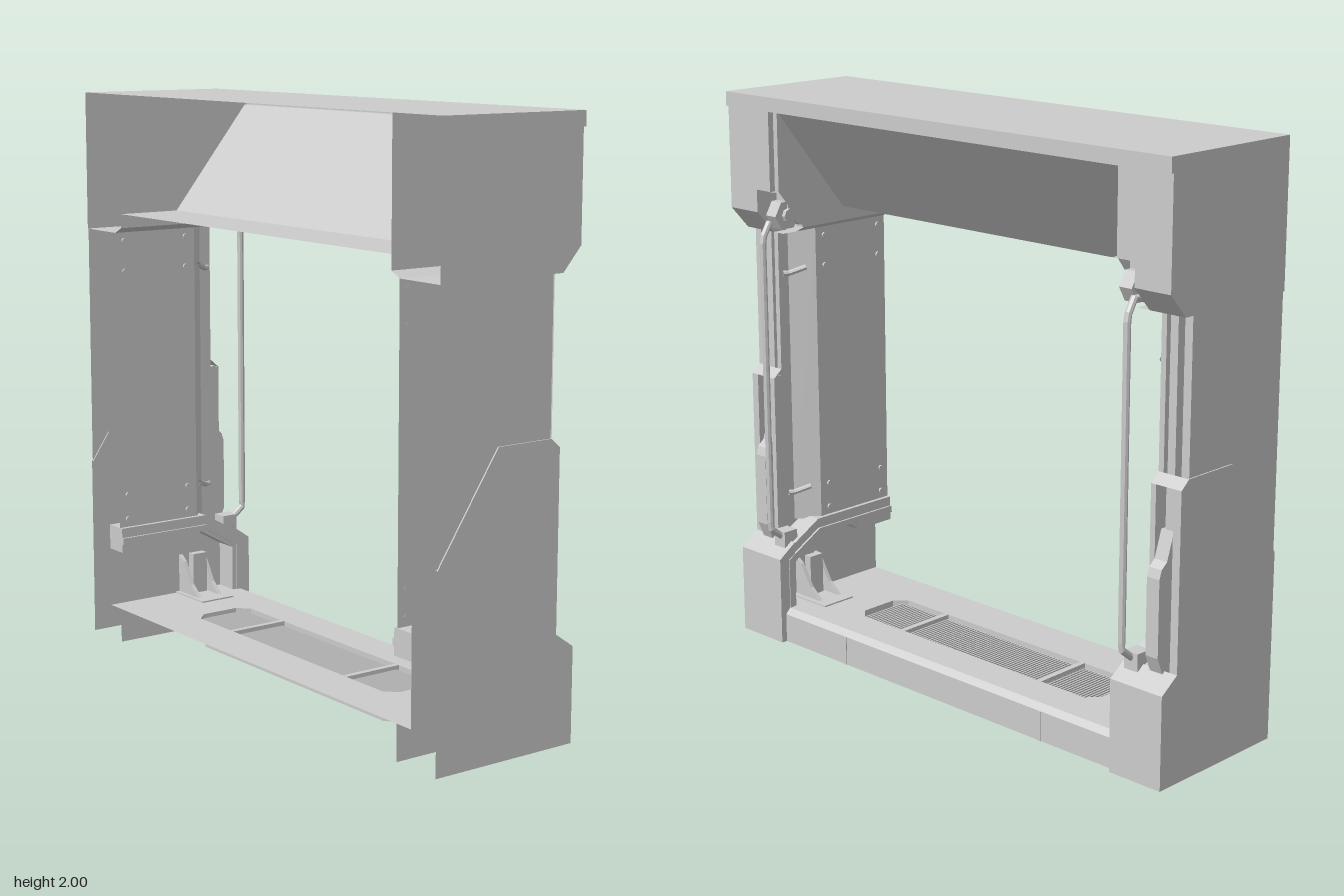
import * as THREE from 'three';

const mat = new THREE.MeshStandardMaterial({ color: 0xcccccc, flatShading: true, side: THREE.DoubleSide });

function add(group, name, geometry) {
  const mesh = new THREE.Mesh(geometry, mat);
  mesh.name = name;
  group.add(mesh);
}

// Open sheet: a polyline swept in a straight line between two offsets
function sweep(path, place, a, b) {
  const pos = [];
  for (let i = 0; i < path.length - 1; i++) {
    const p = place(path[i], a), q = place(path[i + 1], a);
    const r = place(path[i + 1], b), s = place(path[i], b);
    pos.push(...p, ...q, ...r, ...p, ...r, ...s);
  }
  const g = new THREE.BufferGeometry();
  g.setAttribute('position', new THREE.Float32BufferAttribute(pos, 3));
  g.computeVertexNormals();
  return g;
}
// path of [z, y], swept along x
const sheetX = (path, x0, x1) => sweep(path, ([z, y], x) => [x, y, z], x0, x1);
// path of [x, z], swept along y
const sheetY = (path, y0, y1) => sweep(path, ([x, z], y) => [x, y, z], y0, y1);

const shapeOf = pts => new THREE.Shape(pts.map(([a, b]) => new THREE.Vector2(a, b)));

// Flat panel with a [z, y] outline at a given x
function panelX(pts, x) {
  return new THREE.ShapeGeometry(shapeOf(pts.map(([z, y]) => [-z, y]))).rotateY(Math.PI / 2).translate(x, 0, 0);
}
// Solid with a [z, y] outline from x0 to x1
function solidX(pts, x0, x1) {
  return new THREE.ExtrudeGeometry(shapeOf(pts.map(([z, y]) => [-z, y])), { depth: x1 - x0, bevelEnabled: false })
    .rotateY(Math.PI / 2).translate(x0, 0, 0);
}
function box(x0, x1, y0, y1, z0, z1) {
  return new THREE.BoxGeometry(x1 - x0, y1 - y0, z1 - z0)
    .translate((x0 + x1) / 2, (y0 + y1) / 2, (z0 + z1) / 2);
}
// Bent round bar through a few points
function tube(points, radius) {
  const curve = new THREE.CurvePath();
  const v = points.map(p => new THREE.Vector3(...p));
  for (let i = 0; i < v.length - 1; i++) curve.add(new THREE.LineCurve3(v[i], v[i + 1]));
  return new THREE.TubeGeometry(curve, 48, radius, 8);
}

function createSide() {
  const g = new THREE.Group();

  // Outer cheek: corner, middle and proud lower plate
  add(g, 'cornerOuterPanel', panelX([[0.285, 1.51], [0.285, 2], [-0.272, 2], [-0.272, 1.59], [-0.2, 1.51]], 1));
  add(g, 'middleOuterPanel', panelX([[0.285, 0.65], [0.285, 1.51], [-0.165, 1.51], [-0.165, 1], [0.05, 1]], 0.995));
  add(g, 'lowerOuterPanel', panelX([[0.285, 0], [0.285, 0.65], [0.05, 1], [-0.165, 1], [-0.2, 0.97],
    [-0.2, 0.37], [-0.272, 0.32], [-0.272, 0]], 1));
  add(g, 'lowerPanelStep', sheetX([[0.285, 0.65], [0.05, 1], [-0.165, 1]], 0.99, 1));

  // Header corner block
  add(g, 'cornerBack', sheetX([[-0.272, 2], [-0.272, 1.67]], 0.79, 1));
  add(g, 'cornerBackLower', sheetX([[-0.272, 1.67], [-0.272, 1.59], [-0.2, 1.51]], 0.86, 1));
  add(g, 'cornerShelf', sheetX([[-0.2, 1.51], [0.285, 1.51]], 0.81, 1));
  add(g, 'cornerInnerPanel', panelX([[0.285, 1.53], [0.285, 2], [-0.25, 2], [-0.25, 1.67], [-0.14, 1.53]], 0.77));
  add(g, 'cornerInnerReturn', sheetY([[0.77, -0.25], [0.79, -0.25], [0.79, -0.272]], 1.67, 2));
  add(g, 'cornerInnerStep', panelX([[-0.14, 1.51], [-0.14, 1.67], [-0.272, 1.67], [-0.272, 1.59], [-0.2, 1.51]], 0.86));
  add(g, 'cornerStepTop', sheetX([[-0.14, 1.67], [-0.272, 1.67]], 0.77, 0.86));
  add(g, 'cornerStepBack', sheetX([[-0.14, 1.67], [-0.14, 1.53]], 0.77, 0.86));
  add(g, 'cornerSoffit', sweep([[0.77, 1.53], [0.81, 1.51]], ([x, y], z) => [x, y, z], -0.14, 0.285));
  add(g, 'cornerBracket', solidX([[-0.1, 1.54], [-0.1, 1.66], [-0.2, 1.66], [-0.2, 1.58], [-0.15, 1.54]], 0.78, 0.84));

  // Hexagonal joint
  add(g, 'joint', new THREE.CylinderGeometry(0.055, 0.055, 0.05, 6).rotateZ(Math.PI / 2).translate(0.81, 1.58, -0.2));
  add(g, 'jointPin', new THREE.CylinderGeometry(0.025, 0.025, 0.07, 8).rotateZ(Math.PI / 2).translate(0.805, 1.58, -0.2));

  // Jamb lining with its inner wall, bolts and thin ties to the post
  add(g, 'jambLining', sheetY([[0.88, -0.165], [0.88, -0.12], [0.81, -0.05], [0.81, 0.285]], 0.42, 1.51));
  add(g, 'jambInnerWall', sheetY([[0.88, 0.285], [0.88, -0.12]], 0.42, 1.51));
  for (const y of [0.46, 0.55, 1.37, 1.48]) for (const z of [0.25, -0.01]) {
    add(g, 'liningBolt', new THREE.CylinderGeometry(0.01, 0.01, 0.008, 8).rotateZ(Math.PI / 2).translate(0.807, y, z));
  }
  for (const y of [0.55, 1.37]) add(g, 'liningTie', tube([[0.83, y, -0.08], [0.865, y - 0.02, -0.13], [0.875, y - 0.02, -0.15]], 0.01));

  // Channelled post at the back of the jamb
  add(g, 'upperPost', sheetY([[0.88, -0.165], [0.9, -0.165], [0.9, -0.13], [0.97, -0.13], [0.97, -0.165], [1, -0.165]], 1, 1.51));
  add(g, 'lowerPost', sheetY([[0.88, -0.12], [0.88, -0.2], [0.9, -0.2], [0.9, -0.15], [0.97, -0.15], [0.97, -0.2], [1, -0.2]], 0.36, 0.97));
  add(g, 'postShoulder', sheetX([[-0.165, 1], [-0.2, 0.97]], 0.88, 1));
  add(g, 'postStrip', box(0.915, 0.945, 0.25, 1.51, -0.165, -0.11));
  add(g, 'postSleeve', solidX([[-0.12, 0.25], [-0.12, 0.82], [-0.17, 0.82], [-0.2, 0.73], [-0.225, 0.71], [-0.235, 0.68],
    [-0.235, 0.42], [-0.21, 0.36], [-0.2, 0.25]], 0.9, 0.95));

  // Base block
  add(g, 'baseBack', sheetX([[-0.2, 0.37], [-0.272, 0.32], [-0.272, 0]], 0.79, 1));
  add(g, 'baseInner', panelX([[-0.2, 0], [-0.2, 0.37], [-0.272, 0.32], [-0.272, 0]], 0.79));
  add(g, 'pocketWall', panelX([[0.285, 0.125], [0.285, 0.42], [-0.1, 0.42], [-0.25, 0.32], [-0.25, 0.125]], 0.88));
  add(g, 'sillEndPanel', panelX([[0.285, 0], [0.285, 0.125], [-0.24, 0.125], [-0.24, 0]], 0.81));

  // Bent band around the pocket
  add(g, 'pocketBand', solidX([[0.285, 0.34], [0.285, 0.43], [-0.08, 0.43], [-0.255, 0.33], [-0.255, 0.01],
    [-0.2, 0.01], [-0.2, 0.29], [-0.06, 0.37], [0.08, 0.37], [0.12, 0.34]], 0.795, 0.88));
  add(g, 'bandRib', solidX([[0.285, 0.37], [0.285, 0.395], [-0.08, 0.395], [-0.23, 0.31], [-0.23, 0.1],
    [-0.215, 0.1], [-0.215, 0.3], [-0.075, 0.38], [0.1, 0.38], [0.11, 0.37]], 0.787, 0.797));

  // Foot bracket with gussets
  add(g, 'footPlate', box(0.7, 0.88, 0.115, 0.13, -0.14, 0));
  add(g, 'footUnderplate', box(0.73, 0.87, 0.08, 0.11, -0.14, 0));
  add(g, 'footPost', box(0.82, 0.85, 0.13, 0.28, -0.1, -0.04));
  for (const z of [-0.12, -0.03]) {
    const gusset = new THREE.ExtrudeGeometry(shapeOf([[0.75, 0.13], [0.88, 0.13], [0.88, 0.27], [0.85, 0.25], [0.8, 0.17]]),
      { depth: 0.015, bevelEnabled: false });
    add(g, 'footGusset', gusset.translate(0, 0, z));
  }

  // Bent rod behind the jamb
  add(g, 'rod', tube([[0.835, 1.54, -0.19], [0.835, 1.555, -0.24], [0.835, 1.5, -0.273], [0.835, 0.43, -0.273], [0.835, 0.38, -0.21]], 0.012));
  add(g, 'rodSocket', box(0.81, 0.865, 0.35, 0.41, -0.23, -0.17));
  return g;
}

function createSill() {
  const g = new THREE.Group();
  g.name = 'sill';
  // Eight-sided opening, optionally shrunk towards its centre line
  const opening = scale => [[-0.57, -0.06], [-0.53, -0.1], [0.53, -0.1], [0.57, -0.06], [0.57, 0.08], [0.53, 0.12],
    [-0.53, 0.12], [-0.57, 0.08]].map(([x, z]) => [x * (scale + 4) / 5, 0.01 + (z - 0.01) * scale]);

  // Top plate with the grate opening, and the back edge
  const plate = shapeOf([[-0.88, -0.23], [0.88, -0.23], [0.88, 0.285], [-0.88, 0.285]]);
  plate.holes.push(shapeOf(opening(1)));
  add(g, 'sillTop', new THREE.ShapeGeometry(plate).rotateX(Math.PI / 2).translate(0, 0.125, 0));
  add(g, 'sillBack', sheetX([[-0.23, 0.125], [-0.25, 0.105], [-0.25, 0]], -0.8, 0.8));

  // Tray under the grate
  add(g, 'trayWall', sheetY([...opening(1), opening(1)[0]], 0.045, 0.125));
  add(g, 'trayFloor', new THREE.ShapeGeometry(shapeOf(opening(1))).rotateX(Math.PI / 2).translate(0, 0.045, 0));
  const rim = shapeOf(opening(0.9));
  rim.holes.push(shapeOf(opening(0.65)));
  add(g, 'trayRim', new THREE.ExtrudeGeometry(rim, { depth: 0.025, bevelEnabled: false }).rotateX(Math.PI / 2).translate(0, 0.045, 0));

  // Grate slats, cross bars and seams
  for (let i = 0; i < 86; i++) {
    const slat = new THREE.BoxGeometry(0.004, 0.03, 0.2).rotateZ(0.5);
    add(g, 'grateSlat', slat.translate(-0.5525 + i * 0.013, 0.1, 0.01));
  }
  for (const s of [-1, 1]) {
    add(g, 'grateBar', box(s * 0.33 - 0.01, s * 0.33 + 0.01, 0.1, 0.126, -0.1, 0.12));
    add(g, 'sillSeam', box(s * 0.47 - 0.006, s * 0.47 + 0.006, 0, 0.105, -0.253, -0.248));
  }
  return g;
}

export function createModel() {
  const model = new THREE.Group();
  model.name = 'doorFrame';

  // Header: cap, sloping back and soffit
  const header = new THREE.Group();
  header.name = 'header';
  add(header, 'topCap', sheetX([[-0.25, 1.95], [-0.282, 1.95], [-0.282, 2], [0.285, 2]], -1, 1));
  for (const x of [-1, 1]) add(header, 'capEnd', panelX([[-0.282, 1.95], [-0.282, 2], [-0.27, 2], [-0.27, 1.95]], x));
  add(header, 'slopingBackAndSoffit', sheetX([[-0.25, 1.95], [0.05, 1.58], [0.285, 1.58]], -0.77, 0.77));
  model.add(header, createSill());

  // Mirrored sides
  const left = createSide();
  left.name = 'leftSide';
  const right = createSide();
  right.name = 'rightSide';
  right.scale.x = -1;
  model.add(left, right);
  return model;
}
